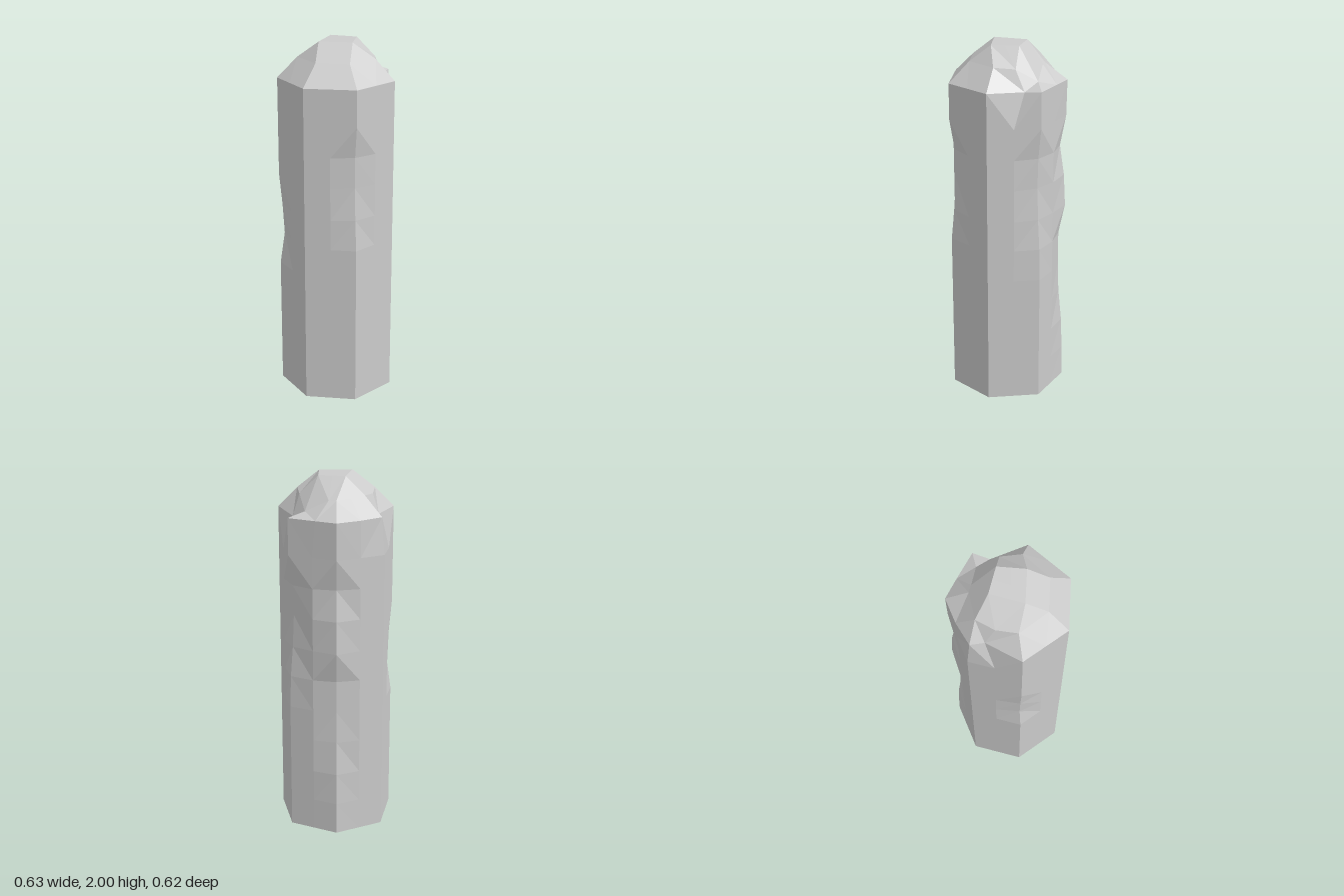
import * as THREE from 'three';

// Seven corners of the column, counter-clockwise from above, starting front +x
const CORNERS = [[0.14, 0.31], [0.315, 0.09], [0.255, -0.19], [0, -0.31],
  [-0.255, -0.19], [-0.315, 0.09], [-0.14, 0.31]];

// Heights of the body courses and how far each worn corner is chipped inwards
const LEVELS = [0, 0.18, 0.36, 0.55, 0.73, 0.91, 1.08, 1.26, 1.43, 1.6];
const WEAR = {
  0: [0, 0, 0, 0, 0, 0, 0.05, 0.09, 0.08, 0],
  2: [0, 0, 0, 0, 0, 0.02, 0.07, 0.1, 0.08, 0],
  3: [0, 0.01, 0.03, 0.09, 0.11, 0.11, 0, 0.03, 0.11, 0.01],
  5: [0, 0, 0, 0, 0, 0.08, 0.05, 0, 0, 0],
};

// Ring of 14 points: the corners and the middle of every side
function withMiddles(points) {
  return points.flatMap((p, i) => {
    const q = points[(i + 1) % points.length];
    return [p, p.map((v, k) => (v + q[k]) / 2)];
  });
}

function bodyRing(y, row) {
  return withMiddles(CORNERS).map(([x, z], i) => {
    const wear = i % 2 === 0 && WEAR[i / 2] ? WEAR[i / 2][row] || 0 : 0;
    return [x * (1 - wear), y, z * (1 - wear)];
  });
}

// Join rings with quads; optionally close the bottom and the top
function loft(rings, capBottom, capTop) {
  const pos = [];
  const tri = (a, b, c) => pos.push(...a, ...b, ...c);
  const n = rings[0].length;
  for (let r = 0; r < rings.length - 1; r++) {
    for (let i = 0; i < n; i++) {
      const j = (i + 1) % n;
      const a = rings[r][i], b = rings[r][j], c = rings[r + 1][j], d = rings[r + 1][i];
      if (i % 2) { tri(a, b, c); tri(a, c, d); } else { tri(a, b, d); tri(b, c, d); }
    }
  }
  const cap = (ring, up) => {
    const mid = [0, 1, 2].map(k => ring.reduce((s, p) => s + p[k], 0) / n);
    ring.forEach((p, i) => {
      const q = ring[(i + 1) % n];
      if (up) tri(mid, p, q); else tri(mid, q, p);
    });
  };
  if (capBottom) cap(rings[0], false);
  if (capTop) cap(rings[rings.length - 1], true);
  const geo = new THREE.BufferGeometry();
  geo.setAttribute('position', new THREE.Float32BufferAttribute(pos, 3));
  geo.computeVertexNormals();
  return geo;
}

export function createModel() {
  const group = new THREE.Group();
  group.name = 'stoneColumn';
  const stone = new THREE.MeshStandardMaterial({ color: 0xcccccc, flatShading: true });
  const add = (name, geo) => {
    const mesh = new THREE.Mesh(geo, stone);
    mesh.name = name;
    group.add(mesh);
  };

  // Rim of the shaft, with broken sides towards the back
  const rim = bodyRing(1.8, -1);
  rim[3] = [0.23, 1.79, -0.10];
  rim[5] = [0.11, 1.8, -0.26];
  rim[8] = [-0.24, 1.8, -0.175];
  rim[9] = [-0.225, 1.8, -0.10];
  add('shaft', loft([...LEVELS.map(bodyRing), rim], true, false));

  // Chiselled cap: an uneven shoulder ring rising to a small four-sided top
  const shoulder = withMiddles([[0.09, 1.91, 0.205], [0.21, 1.91, 0.065],
    [0.165, 1.83, -0.165], [0, 1.89, -0.19], [-0.15, 1.91, -0.15],
    [-0.21, 1.91, 0.065], [-0.09, 1.91, 0.205]]);
  shoulder[3] = [0.195, 1.9, -0.05];
  shoulder[5] = [0.04, 1.89, -0.18];
  shoulder[9] = [-0.195, 1.9, -0.05];
  const [frontL, backL, backR, frontR] =
    [[0.09, 2, 0.09], [0.095, 2, -0.06], [-0.05, 2, -0.09], [-0.09, 2, 0.09]];
  const top = withMiddles([frontL, frontL, backL, backR, backR, frontR, frontR]);
  add('cap', loft([rim, shoulder, top], false, true));

  return group;
}
